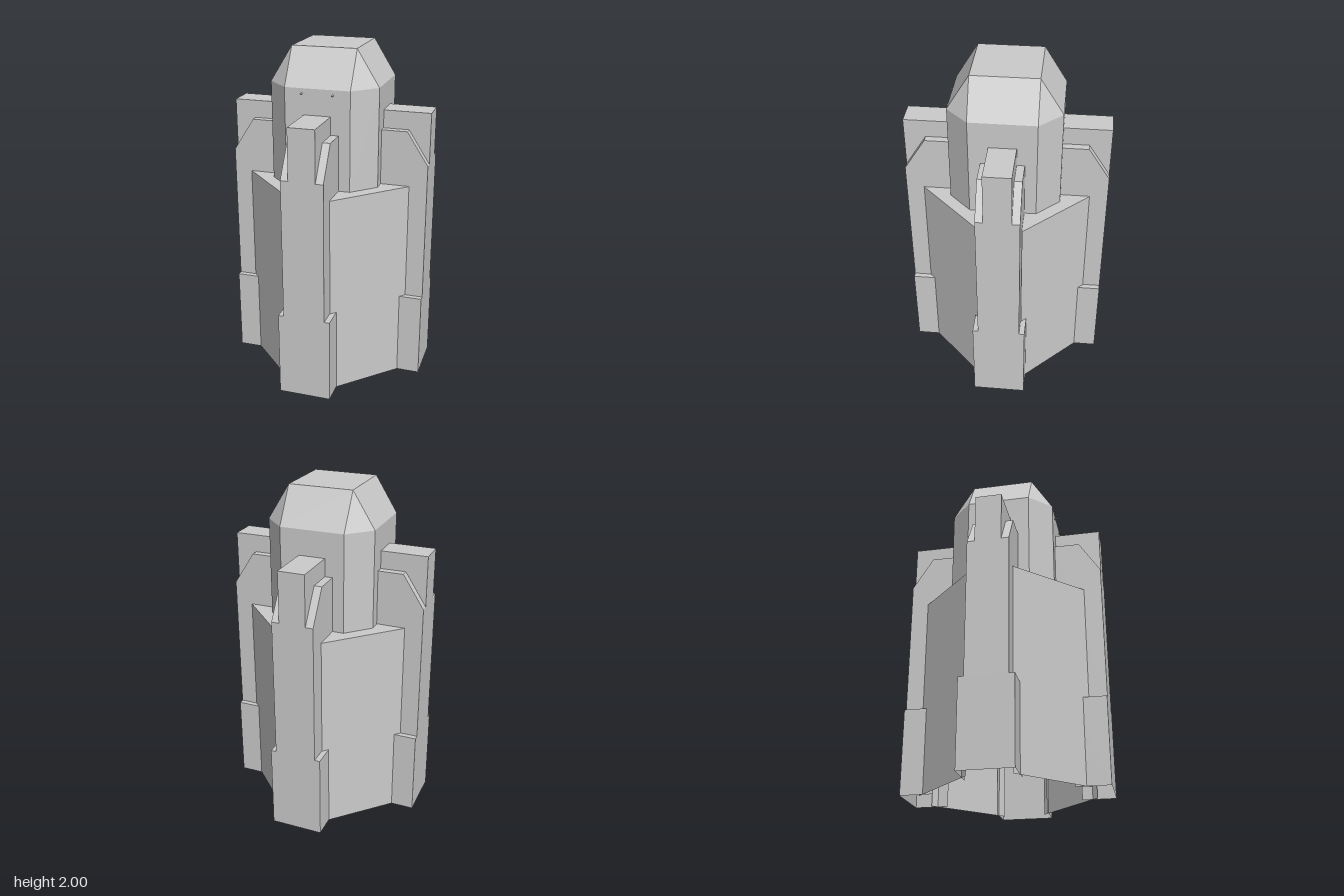
import * as THREE from 'three';

const material = new THREE.MeshStandardMaterial({ color: 0xcccccc, flatShading: true, side: THREE.DoubleSide });

// Mesh from convex polygons, each listed counter-clockwise from outside
function polyMesh(name, polys) {
  const pos = [];
  for (const p of polys) {
    for (let i = 1; i < p.length - 1; i++) {
      const [a, b, c] = [p[0], p[i], p[i + 1]].map(v => new THREE.Vector3(...v));
      if (new THREE.Triangle(a, b, c).getArea() > 1e-8) pos.push(...a, ...b, ...c);
    }
  }
  const geo = new THREE.BufferGeometry();
  geo.setAttribute('position', new THREE.Float32BufferAttribute(pos, 3));
  geo.computeVertexNormals();
  const mesh = new THREE.Mesh(geo, material);
  mesh.name = name;
  return mesh;
}

// Chamfered square ring at height y: flats from -a to a at distance b
function octagon(a, b, y) {
  const ring = [];
  let p = [a, b], q = [b, a];
  for (let k = 0; k < 4; k++) {
    ring.push([p[0], y, p[1]], [q[0], y, q[1]]);
    p = [p[1], -p[0]];
    q = [q[1], -q[0]];
  }
  return ring;
}

const band = (lo, hi) => lo.map((p, i) => {
  const j = (i + 1) % lo.length;
  return [p, lo[j], hi[j], hi[i]];
});

// Buttress shell from a [z, y] profile, open at its inner end and underneath
function shell(name, halfWidth, profile) {
  const at = (x, [z, y]) => [x, y, z];
  const polys = [
    profile.map(p => at(halfWidth, p)),
    profile.map(p => at(-halfWidth, p)).reverse(),
  ];
  for (let i = 1; i < profile.length - 1; i++) {
    const [a, b] = [profile[i], profile[i + 1]];
    polys.push([at(-halfWidth, a), at(-halfWidth, b), at(halfWidth, b), at(halfWidth, a)]);
  }
  return polyMesh(name, polys);
}

export function createModel() {
  const model = new THREE.Group();
  model.name = 'tower';

  // Hollow body: four diagonal walls and a flat roof
  const low = octagon(0.125, 0.49, 0), high = octagon(0.125, 0.49, 1.21);
  const walls = band(low, high).filter((_, i) => i % 2 === 0);
  model.add(polyMesh('body', [...walls, high]));

  // Central turret with bevelled cap
  const base = octagon(0.19, 0.32, 1.21);
  const shoulder = octagon(0.19, 0.32, 1.79);
  const crown = octagon(0.19, 0.19, 2);
  model.add(polyMesh('turret', [...band(base, shoulder), ...band(shoulder, crown), crown]));

  // Four stepped buttresses
  for (let k = 0; k < 4; k++) {
    const buttress = new THREE.Group();
    buttress.name = 'buttress';
    buttress.add(shell('buttressFoot', 0.155, [[0.4, 0], [0.4, 0.51], [0.595, 0.51], [0.595, 0]]));
    buttress.add(shell('buttressShaft', 0.123,
      [[0.31, 0.51], [0.31, 1.535], [0.47, 1.535], [0.595, 1.34], [0.595, 0.51]]));
    buttress.add(shell('buttressFin', 0.078, [[0.31, 1.34], [0.31, 1.64], [0.595, 1.64], [0.595, 1.34]]));
    buttress.rotation.y = k * Math.PI / 2;
    model.add(buttress);
  }

  // Two tiny spikes on the turret front
  for (const x of [-0.09, 0.09]) {
    const spike = new THREE.Mesh(new THREE.ConeGeometry(0.007, 0.03, 4), material);
    spike.name = 'spike';
    spike.rotation.x = Math.PI / 2;
    spike.position.set(x, 1.76, 0.335);
    model.add(spike);
  }
  return model;
}
